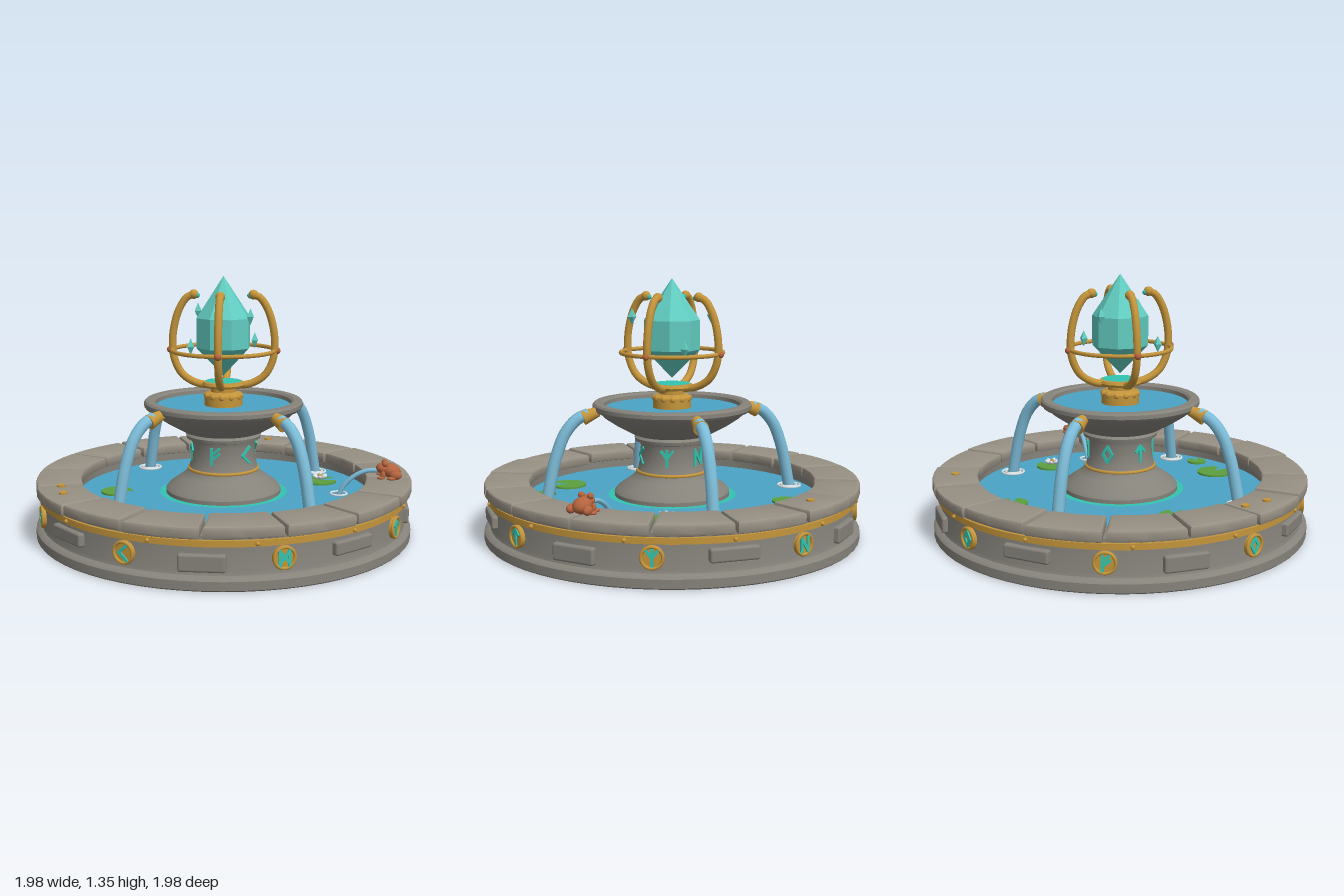
import * as THREE from 'three';
import { toCreasedNormals } from 'three/addons/utils/BufferGeometryUtils.js';
import { RoundedBoxGeometry } from 'three/addons/geometries/RoundedBoxGeometry.js';

const mat = (name, color, side = THREE.FrontSide) => {
  const m = new THREE.MeshStandardMaterial({ color, side });
  m.name = name;
  return m;
};
const M = {
  stone: mat('stone', 0x86837b, THREE.DoubleSide),
  coping: mat('copingStone', 0x979084),
  gold: mat('gold', 0xc4953b),
  crystal: mat('crystal', 0x62cdc2),
  rune: mat('runeTeal', 0x33c4b0),
  water: mat('water', 0x4ba3c6, THREE.DoubleSide),
  stream: mat('stream', 0x7dbdd9),
  leaf: mat('lilyGreen', 0x5b9f3e),
  copper: mat('copper', 0xb5643e),
  foam: mat('foam', 0xd9e4e8),
};
const PI = Math.PI;

function add(parent, name, geo, material, x = 0, y = 0, z = 0) {
  const m = new THREE.Mesh(geo, material);
  m.name = name;
  m.position.set(x, y, z);
  parent.add(m);
  return m;
}
const lathe = (pts, seg = 64) =>
  toCreasedNormals(new THREE.LatheGeometry(pts.map(p => new THREE.Vector2(...p)), seg), 0.5);
const tube = (pts, r, seg = 24) =>
  new THREE.TubeGeometry(new THREE.CatmullRomCurve3(pts.map(p => new THREE.Vector3(...p))), seg, r, 10);
const flatRing = (R, r) => new THREE.TorusGeometry(R, r, 8, 40).rotateX(PI / 2);
function pivot(parent, name, angle) {
  const g = new THREE.Group();
  g.name = name;
  g.rotation.y = angle;
  parent.add(g);
  return g;
}
function ball(parent, name, material, x, y, z, rx, ry = rx, rz = rx) {
  const b = add(parent, name, new THREE.SphereGeometry(1, 14, 10), material, x, y, z);
  b.scale.set(rx, ry, rz);
  return b;
}

// Rune strokes as x1, y1, x2, y2 in a unit square
const RUNES = {
  angle: [[0.28, 0.5, -0.28, 0], [-0.28, 0, 0.28, -0.5]],
  cross: [[-0.3, -0.5, -0.3, 0.5], [0.3, -0.5, 0.3, 0.5], [-0.3, 0.4, 0.3, -0.3], [-0.3, -0.3, 0.3, 0.4]],
  arrow: [[0, -0.5, 0, 0.5], [0, 0.5, -0.32, 0.15], [0, 0.5, 0.32, 0.15]],
  fork: [[0, -0.5, 0, 0.5], [0, 0, -0.35, 0.45], [0, 0, 0.35, 0.45]],
  zig: [[-0.28, -0.5, -0.28, 0.45], [-0.28, 0.45, 0.28, -0.45], [0.28, -0.45, 0.28, 0.5]],
  branch: [[-0.15, -0.5, -0.15, 0.5], [-0.15, 0.1, 0.32, 0.5], [-0.15, -0.2, 0.32, 0.18]],
  diamond: [[0, 0.5, 0.3, 0], [0.3, 0, 0, -0.5], [0, -0.5, -0.3, 0], [-0.3, 0, 0, 0.5]],
};
function rune(parent, key, size, y, z) {
  for (const [x1, y1, x2, y2] of RUNES[key]) {
    const len = Math.hypot(x2 - x1, y2 - y1) * size;
    const bar = add(parent, 'runeStroke', new THREE.BoxGeometry(len + 0.008, 0.014, 0.009), M.rune,
      (x1 + x2) / 2 * size, y + (y1 + y2) / 2 * size, z);
    bar.rotation.z = Math.atan2(y2 - y1, x2 - x1);
  }
}

function buildBasin(root) {
  const g = pivot(root, 'basin', 0);
  add(g, 'basinWall', lathe([[0.95, 0], [0.985, 0], [0.99, 0.006], [0.99, 0.048], [0.978, 0.06], [0.958, 0.066],
    [0.952, 0.085], [0.952, 0.25], [0.775, 0.25], [0.775, 0.185]]), M.stone);
  add(g, 'basinFloor', new THREE.CircleGeometry(0.765, 64).rotateX(PI / 2), M.stone, 0, 0.185, 0);
  add(g, 'poolWater', new THREE.CircleGeometry(0.775, 64).rotateX(-PI / 2), M.water, 0, 0.2, 0);
  add(g, 'goldBand', lathe([[0.945, 0.202], [0.967, 0.202], [0.967, 0.232], [0.945, 0.232], [0.945, 0.202]]), M.gold);
  for (let i = 0; i < 12; i++) {
    const a = (i + 0.5) * PI / 6;
    ball(g, 'bandStud', M.gold, Math.sin(a) * 0.968, 0.216, Math.cos(a) * 0.968, 0.011);
  }

  // Sixteen bevelled coping stones with slightly uneven heights
  const half = PI / 16, shape = new THREE.Shape();
  for (let i = 0; i <= 4; i++) {
    const a = (i / 2 - 1) * (half - 0.009);
    shape[i ? 'lineTo' : 'moveTo'](Math.cos(a) * 0.99, Math.sin(a) * 0.99);
  }
  for (let i = 0; i <= 2; i++) {
    const a = (1 - i) * (half - 0.012);
    shape.lineTo(Math.cos(a) * 0.755, Math.sin(a) * 0.755);
  }
  const stone = toCreasedNormals(new THREE.ExtrudeGeometry(shape, {
    depth: 0.034, bevelThickness: 0.012, bevelSize: 0.012, bevelOffset: -0.012, bevelSegments: 2,
  }).rotateX(-PI / 2), 0.4);
  for (let i = 0; i < 16; i++) {
    const s = add(g, 'copingStone', stone, M.coping, 0, 0.253 + 0.003 * Math.sin(i * 2.7), 0);
    s.rotation.y = (i + 0.5) * PI / 8;
    s.scale.set(1 - 0.003 * (i % 3), 1, 1);
  }
  for (const [x, z] of [[0.185, -0.85], [-0.79, 0.365], [-0.745, 0.5]])
    add(g, 'coin', new THREE.CylinderGeometry(0.021, 0.021, 0.01, 14), M.gold, x, 0.305, z);

  // Wall panels and rune medallions alternate
  const order = ['cross', 'arrow', 'fork', 'zig', 'diamond', 'branch', 'diamond', 'angle'];
  order.forEach((key, i) => {
    const p = pivot(g, 'wallPanel', i * PI / 4), odd = i % 2;
    add(p, 'panelBlock', new RoundedBoxGeometry(odd ? 0.24 : 0.22, odd ? 0.068 : 0.084, 0.05, 2, 0.012), M.stone,
      0, odd ? 0.146 : 0.125, 0.95);
    const m = pivot(g, 'medallion', (i + 0.5) * PI / 4);
    add(m, 'medallionDisc', new THREE.CylinderGeometry(0.056, 0.056, 0.04, 24).rotateX(PI / 2), M.gold, 0, 0.14, 0.945);
    add(m, 'medallionRim', new THREE.TorusGeometry(0.05, 0.008, 8, 28), M.gold, 0, 0.14, 0.966);
    rune(m, key, 0.075, 0.14, 0.968);
  });
}

function buildPedestal(root) {
  const g = pivot(root, 'pedestal', 0);
  add(g, 'glowRing', new THREE.RingGeometry(0.29, 0.338, 48).rotateX(-PI / 2), M.rune, 0, 0.205, 0);
  add(g, 'pedestalColumn', lathe([[0.305, 0.19], [0.305, 0.225], [0.29, 0.245], [0.22, 0.295], [0.195, 0.315],
    [0.18, 0.345], [0.17, 0.39], [0.165, 0.47], [0.172, 0.492], [0.194, 0.498], [0.198, 0.515], [0.185, 0.528]], 48), M.stone);
  add(g, 'upperBowl', lathe([[0.18, 0.525], [0.21, 0.535], [0.3, 0.585], [0.36, 0.625], [0.39, 0.655], [0.408, 0.658],
    [0.417, 0.67], [0.417, 0.69], [0.408, 0.7], [0.37, 0.7], [0.358, 0.69], [0.352, 0.64]], 48), M.stone);
  add(g, 'bowlWater', new THREE.CircleGeometry(0.356, 48).rotateX(-PI / 2), M.water, 0, 0.67, 0);
  add(g, 'columnGoldRing', flatRing(0.182, 0.009), M.gold, 0, 0.334, 0);
  ['branch', 'angle', 'fork', 'zig', 'diamond', 'arrow'].forEach((key, i) =>
    rune(pivot(g, 'columnRune', (-11 + i * 60) * PI / 180), key, 0.085, 0.425, 0.171));

  // Four spouts pour along the diagonals
  for (let i = 0; i < 4; i++) {
    const s = pivot(g, 'spout', PI / 4 + i * PI / 2);
    const horn = add(s, 'spoutHorn', new THREE.CylinderGeometry(0.04, 0.026, 0.085, 16), M.gold, 0, 0.65, 0.44);
    horn.rotation.x = PI / 2 + 0.35;
    add(s, 'fallingWater', tube([[0, 0.655, 0.45], [0, 0.63, 0.51], [0, 0.56, 0.573], [0, 0.43, 0.625],
      [0, 0.3, 0.655], [0, 0.195, 0.675]], 0.031), M.stream);
    add(s, 'splashRing', flatRing(0.06, 0.007), M.foam, 0, 0.204, 0.675);
    add(s, 'splashRingInner', flatRing(0.042, 0.006), M.foam, 0, 0.206, 0.675);
  }
}

function buildCrystal(root) {
  const g = pivot(root, 'crystalStand', 0);
  add(g, 'standBase', lathe([[0.1, 0.66], [0.1, 0.725], [0.09, 0.735], [0.065, 0.742], [0.065, 0.762], [0.105, 0.768],
    [0.112, 0.78], [0.106, 0.794], [0, 0.794]], 32), M.gold);
  add(g, 'glowDisc', new THREE.CircleGeometry(0.095, 32).rotateX(-PI / 2), M.rune, 0, 0.798, 0);
  for (let i = 0; i < 12; i++) {
    const a = i * PI / 6;
    ball(g, 'baseBead', M.gold, Math.sin(a) * 0.088, 0.72, Math.cos(a) * 0.088, 0.018);
  }
  const gemGeo = new THREE.LatheGeometry([[0.0001, 0.825], [0.146, 0.975], [0.146, 1.13], [0.0001, 1.345]]
    .map(p => new THREE.Vector2(...p)), 8, PI / 8).toNonIndexed();
  gemGeo.computeVertexNormals();
  add(g, 'crystal', gemGeo, M.crystal);

  // Cage of four curling arms with a hoop
  add(g, 'cageHoop', flatRing(0.268, 0.011), M.gold, 0, 0.96, 0);
  for (let i = 0; i < 4; i++) {
    const arm = pivot(g, 'cageArm', i * PI / 2);
    add(arm, 'armTube', tube([[0, 0.775, 0.07], [0, 0.785, 0.14], [0, 0.83, 0.215], [0, 0.91, 0.258], [0, 1.0, 0.268],
      [0, 1.1, 0.255], [0, 1.18, 0.228], [0, 1.235, 0.19], [0, 1.25, 0.155]], 0.02, 36), M.gold);
    ball(arm, 'armTip', M.gold, 0, 1.25, 0.155, 0.025);
    ball(arm, 'armTipGem', M.rune, 0, 1.245, 0.138, 0.015);
    ball(arm, 'hoopRivet', M.copper, 0, 0.96, 0.28, 0.018);
    const shard = pivot(g, 'shard', PI / 4 + i * PI / 2);
    const d = add(shard, 'floatingShard', new THREE.OctahedronGeometry(1), M.crystal, 0, i % 2 ? 0.995 : 1.15, 0.215);
    d.scale.set(0.023, 0.043, 0.023);
  }
}

function buildPond(root) {
  const g = pivot(root, 'pondLife', 0);
  // Lily pads: x, z, radius and notch direction
  for (const [x, z, r, a] of [[-0.11, -0.61, 0.075, 1.4], [0.51, -0.24, 0.09, 1.85], [-0.56, 0.095, 0.082, 1.2],
    [0.1, 0.59, 0.095, 0.6], [0.335, 0.58, 0.052, 1.5]])
    add(g, 'lilyPad', new THREE.CylinderGeometry(r, r, 0.01, 20, 1, false, a + 0.3, 2 * PI - 0.6), M.leaf, x, 0.209, z);
  for (let i = 0; i < 6; i++) {
    const p = pivot(g, 'petal', i * PI / 3);
    p.position.set(0.51, 0.225, -0.24);
    ball(p, 'petalBody', M.foam, 0, 0.008, 0.026, 0.012, 0.01, 0.02).rotation.x = -0.5;
  }
  ball(g, 'flowerCentre', M.gold, 0.51, 0.235, -0.24, 0.013);

  // Frog on the rim, facing the middle
  const f = pivot(root, 'frog', 0);
  ball(f, 'frogBody', M.copper, 0.882, 0.335, 0, 0.052, 0.038, 0.046).rotation.z = -0.25;
  ball(f, 'frogHead', M.copper, 0.84, 0.348, 0, 0.036, 0.028, 0.038);
  for (const s of [-1, 1]) {
    ball(f, 'frogEye', M.copper, 0.85, 0.375, s * 0.024, 0.016);
    ball(f, 'frogThigh', M.copper, 0.905, 0.32, s * 0.045, 0.032, 0.023, 0.02);
    ball(f, 'frogHindFoot', M.copper, 0.882, 0.306, s * 0.06, 0.024, 0.009, 0.014);
    ball(f, 'frogFrontLeg', M.copper, 0.84, 0.318, s * 0.036, 0.013, 0.022, 0.012);
    ball(f, 'frogFrontFoot', M.copper, 0.828, 0.305, s * 0.045, 0.018, 0.008, 0.014);
  }
  add(f, 'frogWaterJet', tube([[0.82, 0.335, 0], [0.76, 0.332, 0], [0.695, 0.303, 0], [0.64, 0.25, 0], [0.612, 0.195, 0]], 0.012), M.stream);
  add(f, 'jetSplashRing', flatRing(0.042, 0.006), M.foam, 0.612, 0.204, 0);
}

export function createModel() {
  const root = new THREE.Group();
  root.name = 'crystalFountain';
  buildBasin(root);
  buildPedestal(root);
  buildCrystal(root);
  buildPond(root);
  return root;
}
